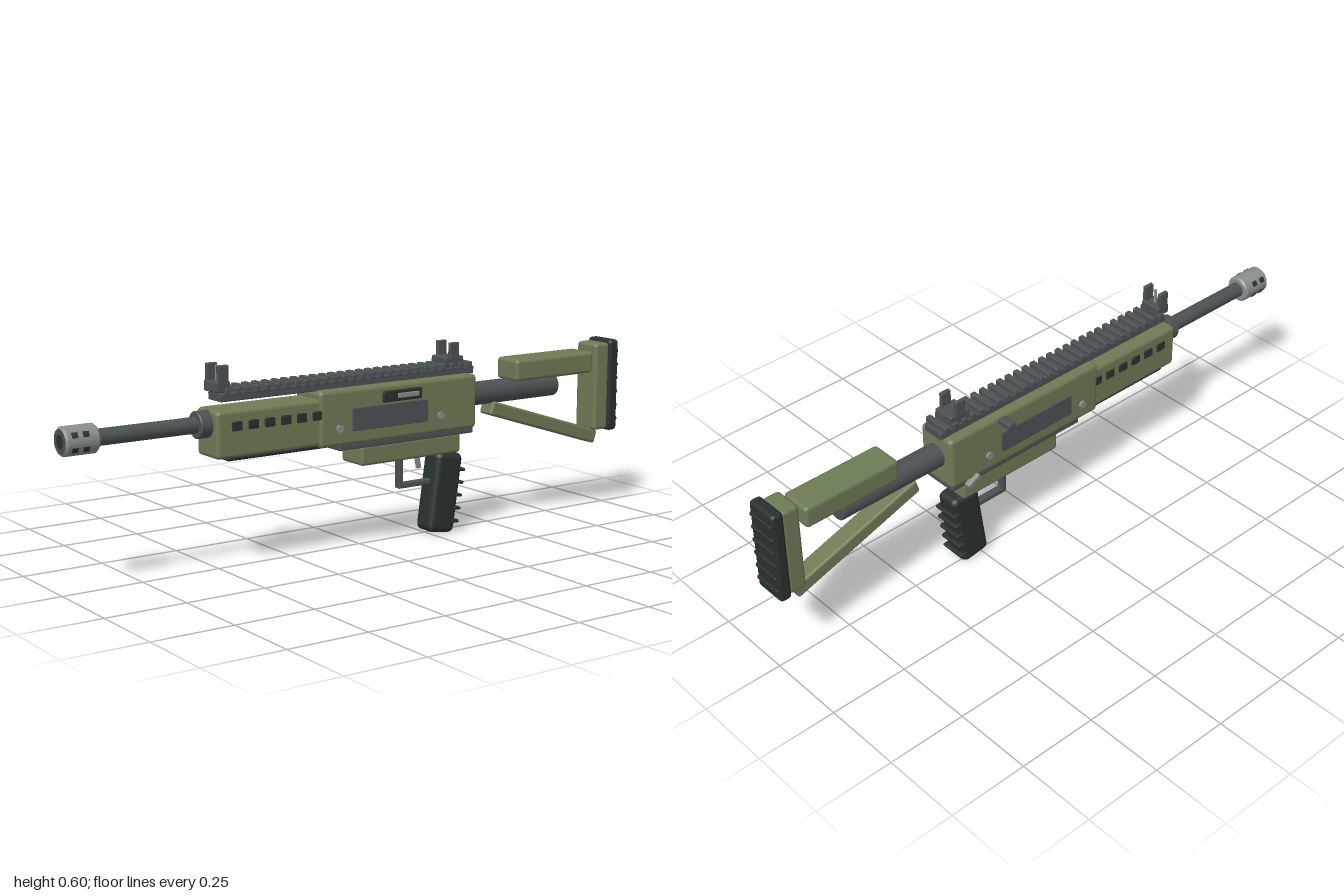
import * as THREE from 'three';
import { RoundedBoxGeometry } from 'three/addons/geometries/RoundedBoxGeometry.js';

const mat = (name, color) => {
  const m = new THREE.MeshStandardMaterial({ color });
  m.name = name;
  return m;
};

export function createModel() {
  const model = new THREE.Group();
  model.name = 'toyBlaster';
  const CX = 0.016; // centre line of the body
  const green = mat('olive', 0x6d7b55);
  const steel = mat('steel', 0x4b5254);
  const dark = mat('charcoal', 0x283030);
  const light = mat('lightMetal', 0x888d8e);

  const add = (name, geometry, material, parent = model) => {
    const mesh = new THREE.Mesh(geometry, material);
    mesh.name = name;
    parent.add(mesh);
    return mesh;
  };
  // Rounded block from its extents on x, y and z
  const block = (name, material, [x0, x1], [y0, y1], [z0, z1], r = 0.005, parent = model) => {
    const w = x1 - x0, h = y1 - y0, d = z1 - z0;
    const geo = new RoundedBoxGeometry(w, h, d, 2, Math.min(r, w * 0.45, h * 0.45, d * 0.45));
    const mesh = add(name, geo, material, parent);
    mesh.position.set((x0 + x1) / 2, (y0 + y1) / 2, (z0 + z1) / 2);
    return mesh;
  };
  // Round part along z with bevelled ends
  const rod = (name, material, y, r, z0, z1, bevel = 0.003) => {
    const cap = new THREE.Vector2(r - bevel, 0), cap2 = new THREE.Vector2(r - bevel, z1 - z0);
    const a = new THREE.Vector2(r, bevel), b = new THREE.Vector2(r, z1 - z0 - bevel);
    // Doubled points keep the edges crisp
    const pts = [new THREE.Vector2(0, 0), cap, cap.clone(), a, a.clone(), b, b.clone(), cap2, cap2.clone(), new THREE.Vector2(0, z1 - z0)];
    const geo = new THREE.LatheGeometry(pts, 32).rotateX(Math.PI / 2);
    const mesh = add(name, geo, material);
    mesh.position.set(CX, y, z0);
    return mesh;
  };
  const mid = (w) => [CX - w / 2, CX + w / 2];

  // Barrel, collar and muzzle
  rod('barrel', steel, 0.44, 0.024, 0.5, 0.91);
  rod('barrelCollar', steel, 0.44, 0.04, 0.53, 0.58);
  rod('muzzle', light, 0.44, 0.042, 0.895, 0.999, 0.006);
  const disc = (name, material, r, z) => {
    add(name, new THREE.CircleGeometry(r, 32), material).position.set(CX, 0.44, z);
  };
  disc('muzzleFace', steel, 0.036, 0.9995);
  disc('bore', dark, 0.02, 1);
  for (const z of [0.938, 0.972]) {
    for (const deg of [30, 150, 210, 330]) {
      const a = THREE.MathUtils.degToRad(deg);
      const vent = add('muzzleVent', new THREE.BoxGeometry(0.006, 0.016, 0.018), dark);
      vent.position.set(CX + Math.cos(a) * 0.0405, 0.44 + Math.sin(a) * 0.0405, z);
      vent.rotation.z = a;
    }
  }

  // Handguard with side vents and dark underside
  block('handguard', green, [-0.04, 0.076], [0.342, 0.482], [0.17, 0.543], 0.013);
  block('handguardUnderside', dark, [-0.031, 0.063], [0.332, 0.36], [0.14, 0.5], 0.006);
  for (let i = 0; i < 6; i++) {
    const z = 0.478 - i * 0.055;
    for (const x of [-0.041, 0.077]) {
      block('handguardVent', dark, [x - 0.004, x + 0.004], [0.422, 0.449], [z - 0.017, z + 0.017], 0.003);
    }
  }

  // Receiver
  block('receiver', green, [-0.05, 0.083], [0.335, 0.506], [-0.388, 0.198], 0.014);
  block('receiverBand', steel, [-0.043, 0.076], [0.32, 0.338], [-0.38, 0.125], 0.004);
  block('lowerReceiver', green, [-0.039, 0.071], [0.262, 0.325], [-0.335, 0.04], 0.01);
  for (const s of [-1, 1]) {
    const face = CX + s * 0.0665;
    block('sidePlate', steel, [face - 0.004, face + 0.004], [0.377, 0.446], [-0.195, 0.083], 0.002);
    for (const z of [0.13, -0.245]) {
      const pin = add('pin', new THREE.CylinderGeometry(0.012, 0.012, 0.014, 16).rotateZ(Math.PI / 2), light);
      pin.position.set(face, 0.39, z);
    }
  }
  block('ejectionPort', dark, [0.08, 0.091], [0.452, 0.487], [-0.17, -0.025], 0.005);
  block('bolt', light, [0.086, 0.093], [0.461, 0.477], [-0.158, -0.078], 0.003);
  block('chargingHandle', steel, [-0.095, -0.045], [0.481, 0.5], [-0.205, -0.175], 0.005);
  const lever = block('selectorLever', light, [-0.061, -0.039], [0.325, 0.341], [-0.335, -0.285], 0.004);
  lever.rotation.x = -0.5;

  // Top rail
  block('railBase', steel, mid(0.072), [0.503, 0.527], [-0.398, 0.515], 0.003);
  for (let i = 0; i < 27; i++) {
    const z = 0.493 - i * 0.0335;
    block('railTooth', steel, mid(0.086), [0.522, 0.542], [z - 0.009, z + 0.009], 0.003);
  }

  // Sights
  const sight = (name, z, half, top) => {
    const group = new THREE.Group();
    group.name = name;
    model.add(group);
    block('sightBase', steel, mid(0.07), [0.53, 0.561], [z - half, z + half], 0.004, group);
    for (const s of [-1, 1]) {
      const x = CX + s * 0.031;
      block('sightPost', steel, [x - 0.007, x + 0.007], [0.55, top], [z - 0.017, z + 0.017], 0.003, group);
    }
    return group;
  };
  const front = sight('frontSight', 0.506, 0.024, 0.609);
  block('sightPin', light, mid(0.008), [0.55, 0.607], [0.502, 0.51], 0.002, front);
  sight('rearSight', -0.322, 0.036, 0.605);

  // Trigger and guard
  block('guardFront', steel, mid(0.024), [0.163, 0.27], [-0.147, -0.13], 0.004);
  block('guardBottom', steel, mid(0.024), [0.163, 0.18], [-0.27, -0.13], 0.004);
  const trigger = block('trigger', light, mid(0.014), [0.217, 0.275], [-0.215, -0.2], 0.004);
  trigger.rotation.x = 0.2;

  // Grip with ribs on its back
  const grip = new THREE.Group();
  grip.name = 'grip';
  grip.position.set(CX, 0.134, -0.295);
  grip.rotation.x = -0.143;
  model.add(grip);
  block('gripBody', dark, [-0.041, 0.041], [-0.127, 0.127], [-0.05, 0.05], 0.02, grip);
  for (let i = 0; i < 5; i++) {
    const y = -0.088 + i * 0.041;
    block('gripRib', dark, [-0.042, 0.042], [y - 0.005, y + 0.005], [-0.061, -0.035], 0.004, grip);
  }

  // Stock
  rod('stockTube', steel, 0.43, 0.037, -0.752, -0.37);
  block('cheekRest', green, mid(0.103), [0.46, 0.53], [-0.885, -0.562], 0.012);
  const strut = add('stockStrut', new RoundedBoxGeometry(0.06, 0.045, 0.466, 2, 0.008), green);
  strut.position.set(CX, 0.311, -0.703);
  strut.rotation.x = -0.31;
  block('buttBlock', green, mid(0.094), [0.265, 0.553], [-0.96, -0.9], 0.012);
  block('buttPad', dark, mid(0.11), [0.26, 0.562], [-0.994, -0.955], 0.012);
  for (let i = 0; i < 6; i++) {
    const y = 0.298 + i * 0.045;
    block('buttPadRib', dark, mid(0.095), [y - 0.006, y + 0.006], [-1, -0.985], 0.004);
  }
  return model;
}
